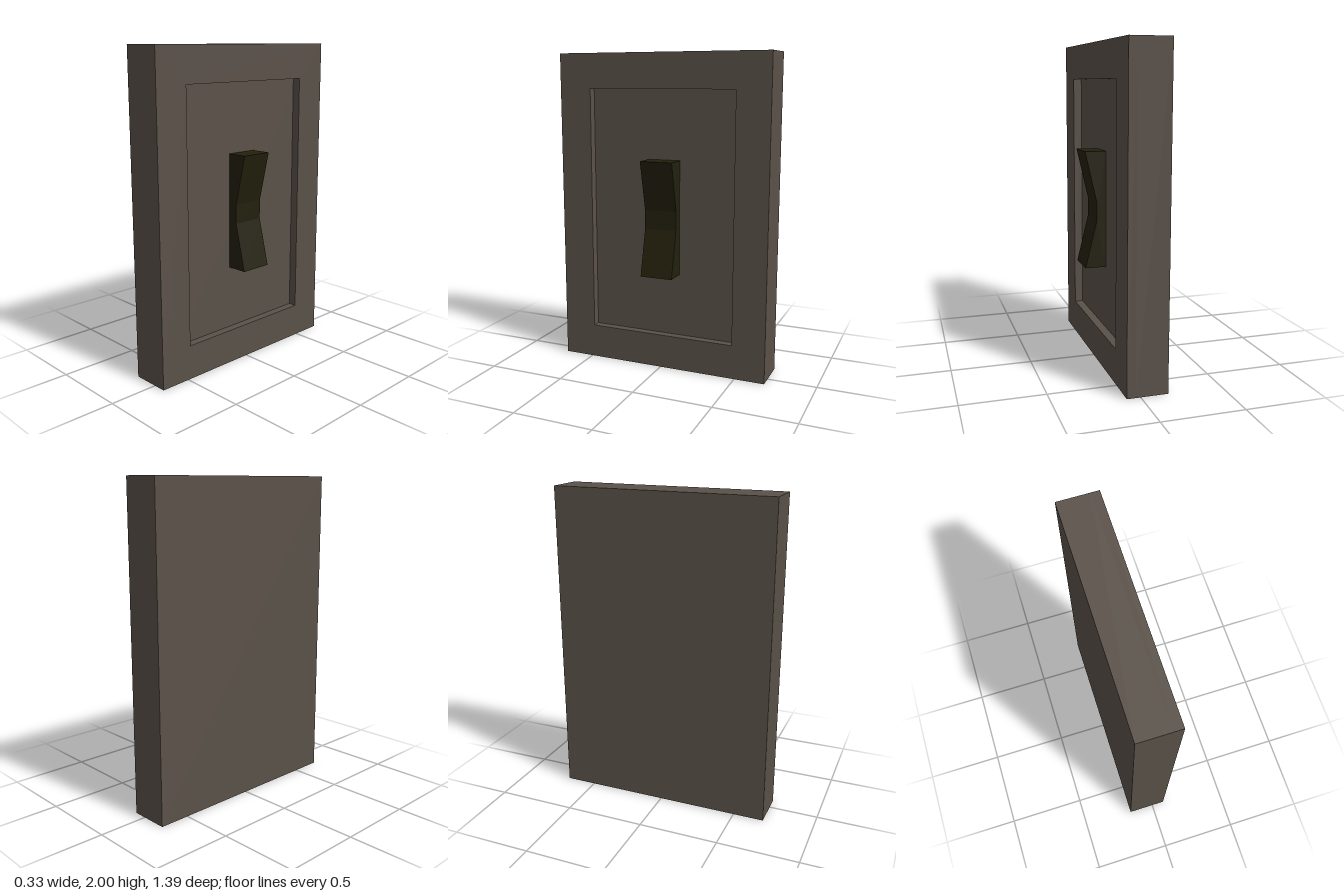
import * as THREE from 'three';

const plateColor = new THREE.MeshStandardMaterial({ name: 'taupe plate', color: 0x5a5149 });
const rockerColor = new THREE.MeshStandardMaterial({ name: 'dark olive rocker', color: 0x23200d });

const HEIGHT = 2, WIDTH = 1.386;
const BACK = -0.167, FLOOR = 0.03, FACE = 0.083;

function rectangle(path, w, y0, y1) {
  path.moveTo(-w / 2, y0);
  path.lineTo(w / 2, y0);
  path.lineTo(w / 2, y1);
  path.lineTo(-w / 2, y1);
  path.closePath();
  return path;
}

function addMesh(group, name, geometry, material) {
  const mesh = new THREE.Mesh(geometry, material);
  mesh.name = name;
  group.add(mesh);
  return mesh;
}

export function createModel() {
  const group = new THREE.Group();
  group.name = 'wallSwitch';

  // Solid back of the plate, up to the floor of the recess
  const back = addMesh(group, 'plateBack', new THREE.BoxGeometry(FLOOR - BACK, HEIGHT, WIDTH), plateColor);
  back.position.set((BACK + FLOOR) / 2, HEIGHT / 2, 0);

  // Raised frame around the recess, extruded towards +x
  const outline = rectangle(new THREE.Shape(), WIDTH, 0, HEIGHT);
  outline.holes.push(rectangle(new THREE.Path(), 0.96, 0.217, 1.78));
  const frameGeometry = new THREE.ExtrudeGeometry(outline, { depth: FACE - FLOOR, bevelEnabled: false });
  frameGeometry.rotateY(Math.PI / 2);
  addMesh(group, 'plateFrame', frameGeometry, plateColor).position.x = FLOOR;

  // Rocker: dished profile in x and y, extruded across its width
  const profile = new THREE.Shape([
    [FLOOR, 0.617], [0.163, 0.617], [0.09, 0.912],
    [0.09, 1.033], [0.163, 1.345], [FLOOR, 1.345],
  ].map(([x, y]) => new THREE.Vector2(x, y)));
  const rockerGeometry = new THREE.ExtrudeGeometry(profile, { depth: 0.21, bevelEnabled: false });
  addMesh(group, 'rocker', rockerGeometry, rockerColor).position.z = -0.11;

  return group;
}
